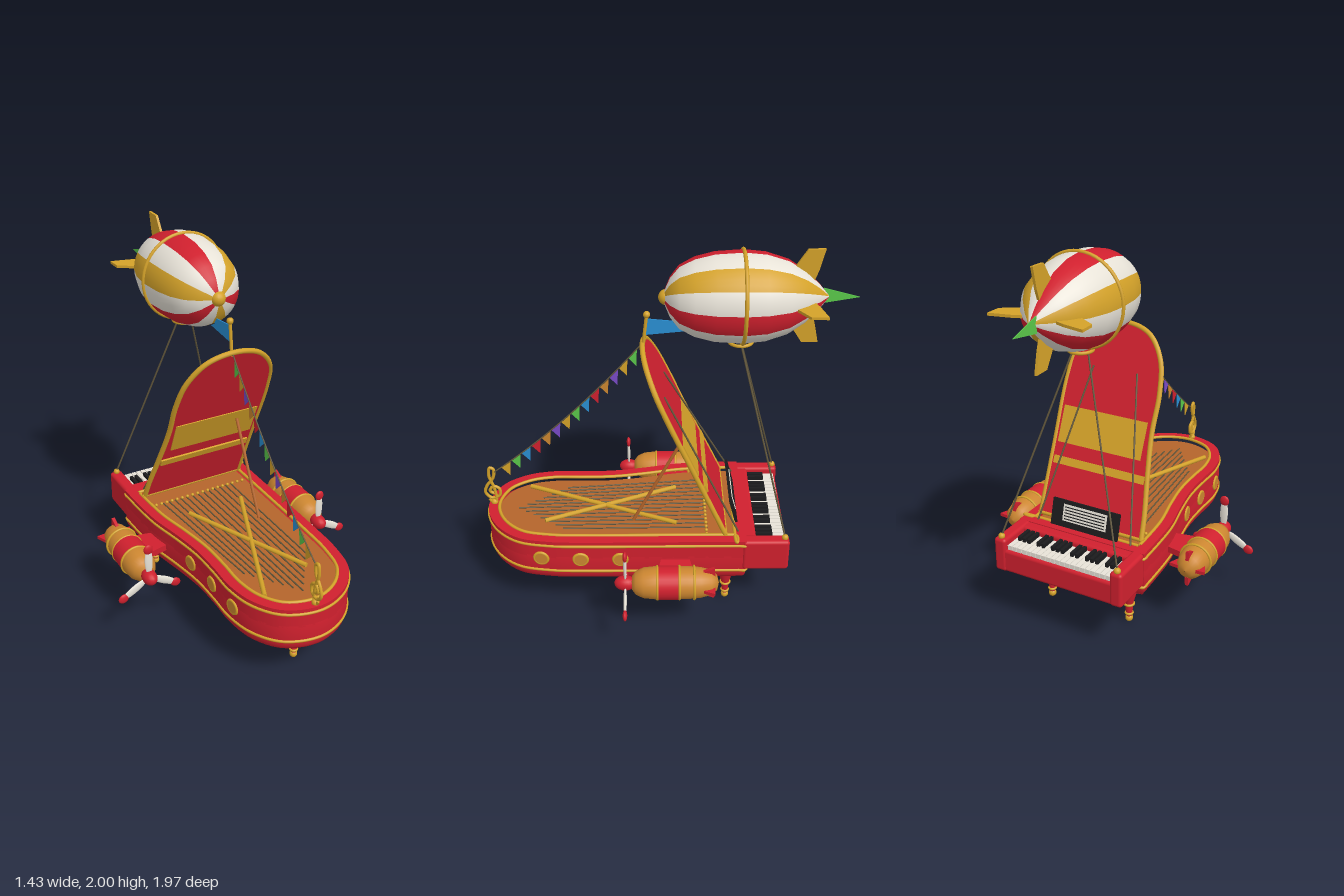
import * as THREE from 'three';
import { toCreasedNormals } from 'three/addons/utils/BufferGeometryUtils.js';
import { RoundedBoxGeometry } from 'three/addons/geometries/RoundedBoxGeometry.js';

const M = {};
for (const [name, color] of Object.entries({
  red: 0xd0202e, gold: 0xd4a229, cream: 0xe8e3d8, wood: 0xb5652b, orange: 0xcc8630,
  green: 0x5ac84a, blue: 0x2a90d4, purple: 0x7a4ac8, black: 0x1b1b1d, rope: 0x62573c,
})) {
  M[name] = new THREE.MeshStandardMaterial({ color });
  M[name].name = name;
}
const V = (x, y, z) => new THREE.Vector3(x, y, z);

function add(parent, name, geo, mat, x = 0, y = 0, z = 0) {
  const m = new THREE.Mesh(geo, mat);
  m.name = name;
  m.position.set(x, y, z);
  parent.add(m);
  return m;
}
function group(parent, name, x = 0, y = 0, z = 0) {
  const g = new THREE.Group();
  g.name = name;
  g.position.set(x, y, z);
  parent.add(g);
  return g;
}
const box = (p, n, m, w, h, d, x, y, z) => add(p, n, new THREE.BoxGeometry(w, h, d), m, x, y, z);
const ball = (p, n, m, r, x, y, z) => add(p, n, new THREE.SphereGeometry(r, 16, 12), m, x, y, z);
function rod(p, n, m, a, b, r) {
  const o = add(p, n, new THREE.CylinderGeometry(r, r, a.distanceTo(b), 8), m);
  o.position.lerpVectors(a, b, 0.5);
  o.quaternion.setFromUnitVectors(V(0, 1, 0), b.clone().sub(a).normalize());
  return o;
}
function tube(p, n, m, pts, r, closed = false, seg = 160) {
  return add(p, n, new THREE.TubeGeometry(new THREE.CatmullRomCurve3(pts, closed), seg, r, 8, closed), m);
}
// Thin plate in the side plane from [z, y] corners
function plate(p, n, m, pts, t, x = 0) {
  const shape = new THREE.Shape(pts.map(([z, y]) => new THREE.Vector2(z, y)));
  const geo = new THREE.ExtrudeGeometry(shape, { depth: t, bevelEnabled: false });
  geo.translate(0, 0, -t / 2).rotateY(-Math.PI / 2);
  return add(p, n, geo, m, x);
}
// Smooth outline through control points, with inward normals
function outline(ctrl, n = 90) {
  const c = new THREE.CatmullRomCurve3(ctrl.map(([x, y]) => V(x, y, 0)));
  return Array.from({ length: n + 1 }, (_, i) => {
    const q = c.getPointAt(i / n), t = c.getTangentAt(i / n);
    return { x: q.x, y: q.y, nx: t.y, ny: -t.x };
  });
}
const inset = (o, d) => o.map(q =>
  new THREE.Vector2(q.x + q.nx * d, Math.max(q.y + q.ny * d, o[0].y + d)));
function slab(o, d, depth, hole = 0, bevel = 0) {
  const s = new THREE.Shape(inset(o, d));
  if (hole) s.holes.push(new THREE.Path(inset(o, hole)));
  return toCreasedNormals(new THREE.ExtrudeGeometry(s, {
    depth: depth - 2 * bevel, bevelEnabled: bevel > 0, bevelThickness: bevel,
    bevelSize: bevel, bevelOffset: -bevel, bevelSegments: 4,
  }).translate(0, 0, bevel), 0.6);
}

const BODY = outline([[-0.38, -0.45], [-0.375, -0.3], [-0.36, -0.1], [-0.32, 0.1], [-0.292, 0.28],
  [-0.287, 0.45], [-0.288, 0.62], [-0.25, 0.78], [-0.15, 0.91], [0.03, 0.965], [0.2, 0.91],
  [0.32, 0.78], [0.362, 0.6], [0.37, 0.4], [0.37, 0], [0.37, -0.45]]);
const LID = outline([[-0.305, 0], [-0.295, 0.13], [-0.268, 0.33], [-0.245, 0.55], [-0.243, 0.76],
  [-0.21, 0.93], [-0.12, 1.05], [0.03, 1.09], [0.18, 1.05], [0.28, 0.93], [0.308, 0.76],
  [0.308, 0.4], [0.308, 0]]);

function buildBody(root) {
  const g = group(root, 'pianoBody');
  const flat = (n, geo, m, top) => { add(g, n, geo, m, 0, top, 0).rotation.x = Math.PI / 2; };
  flat('hull', slab(BODY, 0, 0.23, 0, 0.06), M.red, 0.46);
  flat('rim', slab(BODY, 0, 0.11, 0.06), M.red, 0.5);
  flat('soundboard', slab(BODY, 0.055, 0.02), M.wood, 0.47);
  for (const [n, d, y, r] of [['upperTrim', 0, 0.472, 0.008], ['lowerTrim', 0, 0.305, 0.008], ['innerTrim', 0.06, 0.5, 0.009]])
    tube(g, n, M.gold, inset(BODY, d).map(q => V(q.x, y, q.y)), r, true, 200);
  // Portholes on both flanks
  for (const side of [-1, 1]) for (const z of [0.22, 0.435, 0.65]) {
    const q = BODY.filter(b => b.x * side > 0.1)
      .reduce((a, b) => Math.abs(b.y - z) < Math.abs(a.y - z) ? b : a);
    const p = group(g, 'porthole', q.x, 0.385, q.y);
    p.rotation.y = Math.atan2(-q.nx, -q.ny);
    add(p, 'portholeRing', new THREE.TorusGeometry(0.036, 0.009, 8, 24), M.gold);
    add(p, 'portholeGlass', new THREE.CylinderGeometry(0.034, 0.034, 0.016, 24), M.orange).rotation.x = Math.PI / 2;
  }
  // Strings, crossed braces and tuning pins
  for (let i = 0; i < 13; i++) {
    const t = i / 6 - 1, x = t * 0.22;
    rod(g, 'string', M.rope, V(x - 0.01, 0.475, -0.25), V(x * 0.85 + 0.03, 0.475, 0.8 - 0.26 * Math.abs(t)), 0.004);
  }
  rod(g, 'brace', M.gold, V(-0.165, 0.482, 0.75), V(0.18, 0.482, -0.08), 0.013);
  rod(g, 'brace', M.gold, V(0.155, 0.482, 0.64), V(-0.15, 0.482, -0.08), 0.013);
  for (let i = 0; i < 18; i++) ball(g, 'tuningPin', M.gold, 0.009, -0.28 + i * 0.033, 0.485, -0.24);
  // Turned legs
  const prof = [[0.001, 0], [0.014, 0.03], [0.017, 0.05], [0.022, 0.1], [0.024, 0.12], [0.04, 0.18], [0.045, 0.215], [0.045, 0.25]]
    .map(([r, y]) => new THREE.Vector2(r, y));
  for (const [x, z] of [[0.03, 0.74], [-0.245, -0.355], [0.24, -0.355]]) {
    const l = group(g, 'leg', x, 0, z);
    add(l, 'legShaft', new THREE.LatheGeometry(prof, 20), M.red);
    ball(l, 'legFoot', M.gold, 0.021, 0, 0.021, 0);
    for (const [y, r] of [[0.052, 0.018], [0.11, 0.025]])
      add(l, 'legRing', new THREE.TorusGeometry(r, 0.007, 8, 20), M.gold, 0, y).rotation.x = Math.PI / 2;
  }
}

function buildKeyboard(root) {
  const g = group(root, 'keyboard');
  const block = (n, w, h, d, x, y, z) => add(g, n, new RoundedBoxGeometry(w, h, d, 3, 0.018), M.red, x, y, z);
  block('keyBed', 0.72, 0.13, 0.24, 0, 0.375, -0.555);
  block('fallboard', 0.7, 0.18, 0.075, 0, 0.405, -0.468);
  for (const s of [-1, 1]) {
    block('cheek', 0.07, 0.19, 0.25, s * 0.342, 0.405, -0.555);
    ball(g, 'cheekKnob', M.gold, 0.018, s * 0.342, 0.507, -0.655);
  }
  const w = 0.61 / 21;
  for (let i = 0; i < 21; i++) {
    const x = -0.305 + (i + 0.5) * w;
    box(g, 'whiteKey', M.cream, w * 0.88, 0.03, 0.155, x, 0.45, -0.583);
    if (i < 20 && i % 7 !== 2 && i % 7 !== 6) box(g, 'blackKey', M.black, w * 0.6, 0.025, 0.09, x + w / 2, 0.475, -0.55);
  }
  // Music stand with a ruled sheet
  const s = group(g, 'musicStand', 0, 0.5, -0.405);
  s.rotation.x = 0.26;
  box(s, 'standPanel', M.black, 0.4, 0.145, 0.014, 0, 0.07, 0);
  box(s, 'sheet', M.cream, 0.26, 0.09, 0.006, 0, 0.078, -0.008);
  for (let i = 0; i < 5; i++) box(s, 'sheetLine', M.black, 0.24, 0.005, 0.004, 0, 0.045 + i * 0.016, -0.011);
}

function buildLid(root) {
  const g = group(root, 'lid', 0, 0.5, -0.34);
  g.rotation.x = 0.414;
  add(g, 'lidPanel', slab(LID, 0, 0.016).translate(0, 0, -0.008), M.red);
  tube(g, 'lidTrim', M.gold, LID.map(q => V(q.x, q.y, 0)), 0.014);
  rod(g, 'hinge', M.gold, V(-0.32, 0.005, 0), V(0.32, 0.005, 0), 0.012);
  box(g, 'lidPlaque', M.gold, 0.5, 0.2, 0.026, 0.035, 0.5, 0);
  box(g, 'lidBar', M.gold, 0.545, 0.042, 0.036, 0.013, 0.305, 0);
  rod(root, 'lidProp', M.wood, V(0.16, 0.49, 0.155), V(0.16, 0.995, -0.1), 0.009);
  for (const s of [-1, 1]) rod(root, 'lidStay', M.rope, V(0.03 + s * 0.13, 1.27, -0.012), V(s * 0.28, 0.5, -0.41), 0.005);
  // Flagpole and swallowtail flag
  rod(root, 'flagpole', M.gold, V(0.015, 1.48, 0.095), V(0.015, 1.66, 0.075), 0.009);
  ball(root, 'flagpoleBall', M.gold, 0.018, 0.015, 1.662, 0.075);
  plate(root, 'flag', M.blue, [[0.08, 1.64], [0.085, 1.55], [-0.12, 1.57], [-0.075, 1.595], [-0.12, 1.62]], 0.006, 0.015);
}

function buildBunting(root) {
  // Scroll clef ornament at the tail
  const clef = [[-0.025, 0.53], [-0.01, 0.508], [0.012, 0.515], [0.008, 0.6], [-0.014, 0.68], [-0.005, 0.735],
    [0.014, 0.725], [0.008, 0.67], [-0.03, 0.615], [-0.042, 0.57], [-0.01, 0.533], [0.035, 0.55],
    [0.036, 0.595], [0.004, 0.61], [-0.016, 0.58], [0.004, 0.562]];
  tube(root, 'clefOrnament', M.gold, clef.map(([u, y]) => V(0.01, y, 0.938 - u)), 0.009);
  ball(root, 'clefBase', M.gold, 0.02, 0.01, 0.505, 0.935);
  // String of small flags
  const line = new THREE.QuadraticBezierCurve3(V(0.015, 1.5, 0.1), V(0.015, 1.02, 0.5), V(0.015, 0.71, 0.92));
  add(root, 'buntingLine', new THREE.TubeGeometry(line, 30, 0.004, 6), M.rope);
  const cols = [M.green, M.gold, M.purple, M.orange, M.red, M.blue];
  for (let i = 0; i < 14; i++) {
    const t = 0.065 + i * 0.066, a = line.getPointAt(t - 0.03), b = line.getPointAt(t + 0.03);
    plate(root, 'buntingFlag', cols[i % 6], [[a.z, a.y], [b.z, b.y], [(a.z + b.z) / 2 - 0.018, (a.y + b.y) / 2 - 0.07]], 0.005, 0.015);
  }
}

function buildAirship(root) {
  const g = group(root, 'airship', 0, 1.75, 0);
  const prof = [[0.005, -0.825], [0.065, -0.775], [0.13, -0.705], [0.185, -0.62], [0.22, -0.51], [0.231, -0.4],
    [0.222, -0.26], [0.197, -0.16], [0.157, -0.085], [0.1, -0.04], [0.04, -0.015], [0.001, -0.01]]
    .map(([r, z]) => new THREE.Vector2(r, z));
  // Twelve gores, clockwise from the top
  const cols = [M.cream, M.gold, M.cream, M.red], step = Math.PI / 6;
  for (let i = 0; i < 12; i++)
    add(g, 'gore', new THREE.LatheGeometry(prof, 4, Math.PI - (i + 1) * step, step), cols[i % 4]).rotation.x = Math.PI / 2;
  add(g, 'girdle', new THREE.TorusGeometry(0.233, 0.01, 8, 48), M.gold, 0, 0, -0.4);
  ball(g, 'noseCap', M.gold, 0.04, 0, 0, -0.022);
  for (let k = 0; k < 4; k++)
    plate(g, 'tailFin', M.gold, [[-0.63, 0.13], [-0.705, 0.248], [-0.79, 0.25], [-0.765, 0.14], [-0.74, 0.07]], 0.014).rotation.z = k * Math.PI / 2;
  plate(g, 'tailPennant', M.green, [[-0.8, 0.036], [-0.985, -0.015], [-0.8, -0.045]], 0.006, -0.005).rotation.y = 0.02;
  // Mooring ring and ropes
  add(g, 'mooringRing', new THREE.TorusGeometry(0.06, 0.009, 8, 28), M.gold, 0, -0.245, -0.4).rotation.x = Math.PI / 2;
  for (const s of [-1, 1]) rod(root, 'mooringRope', M.rope, V(s * 0.04, 1.505, -0.4), V(s * 0.342, 0.51, -0.655), 0.005);
}

function buildEngine(root, s) {
  const g = group(root, s > 0 ? 'leftEngine' : 'rightEngine', s * 0.535, 0.365, 0);
  const prof = [[0.001, -0.295], [0.04, -0.285], [0.066, -0.255], [0.08, -0.2], [0.086, -0.13], [0.086, 0.04],
    [0.08, 0.1], [0.062, 0.14], [0.035, 0.16], [0.001, 0.165]].map(([r, z]) => new THREE.Vector2(r, z));
  add(g, 'nacelle', new THREE.LatheGeometry(prof, 28), M.orange).rotation.x = Math.PI / 2;
  add(g, 'nacelleBand', new THREE.CylinderGeometry(0.089, 0.089, 0.11, 28), M.red, 0, 0, -0.03).rotation.x = Math.PI / 2;
  for (const z of [-0.165, -0.088, 0.028])
    add(g, 'nacelleRing', new THREE.TorusGeometry(0.086, 0.007, 8, 28), M.gold, 0, 0, z);
  for (let k = 0; k < 4; k++)
    plate(g, 'nacelleFin', M.red, [[-0.18, 0.06], [-0.225, 0.082], [-0.27, 0.1], [-0.275, 0.05], [-0.24, 0.03]], 0.018).rotation.z = k * Math.PI / 2;
  // Tapered pylon to the hull
  const pylon = new THREE.Shape([[-0.05, -0.17], [-0.05, 0.03], [-0.2, 0.0], [-0.2, -0.14]].map(([x, z]) => new THREE.Vector2(s * x, z)));
  add(g, 'pylon', new THREE.ExtrudeGeometry(pylon, { depth: 0.035, bevelEnabled: false }), M.red, 0, 0.017, 0).rotation.x = Math.PI / 2;
  // Three-bladed propeller
  const p = group(g, 'propeller', 0, 0, 0.195);
  ball(p, 'spinner', M.red, 0.04, 0, 0, 0).scale.z = 1.45;
  for (let k = 0; k < 3; k++) {
    const b = group(p, 'propellerBlade');
    b.rotation.z = k * Math.PI * 2 / 3;
    ball(b, 'blade', M.cream, 1, 0, 0.1, 0).scale.set(0.023, 0.085, 0.009);
    ball(b, 'bladeTip', M.red, 1, 0, 0.175, 0).scale.set(0.026, 0.03, 0.012);
  }
}

export function createModel() {
  const root = new THREE.Group();
  root.name = 'pianoAirship';
  buildBody(root);
  buildKeyboard(root);
  buildLid(root);
  buildBunting(root);
  buildAirship(root);
  for (const s of [-1, 1]) buildEngine(root, s);
  return root;
}
